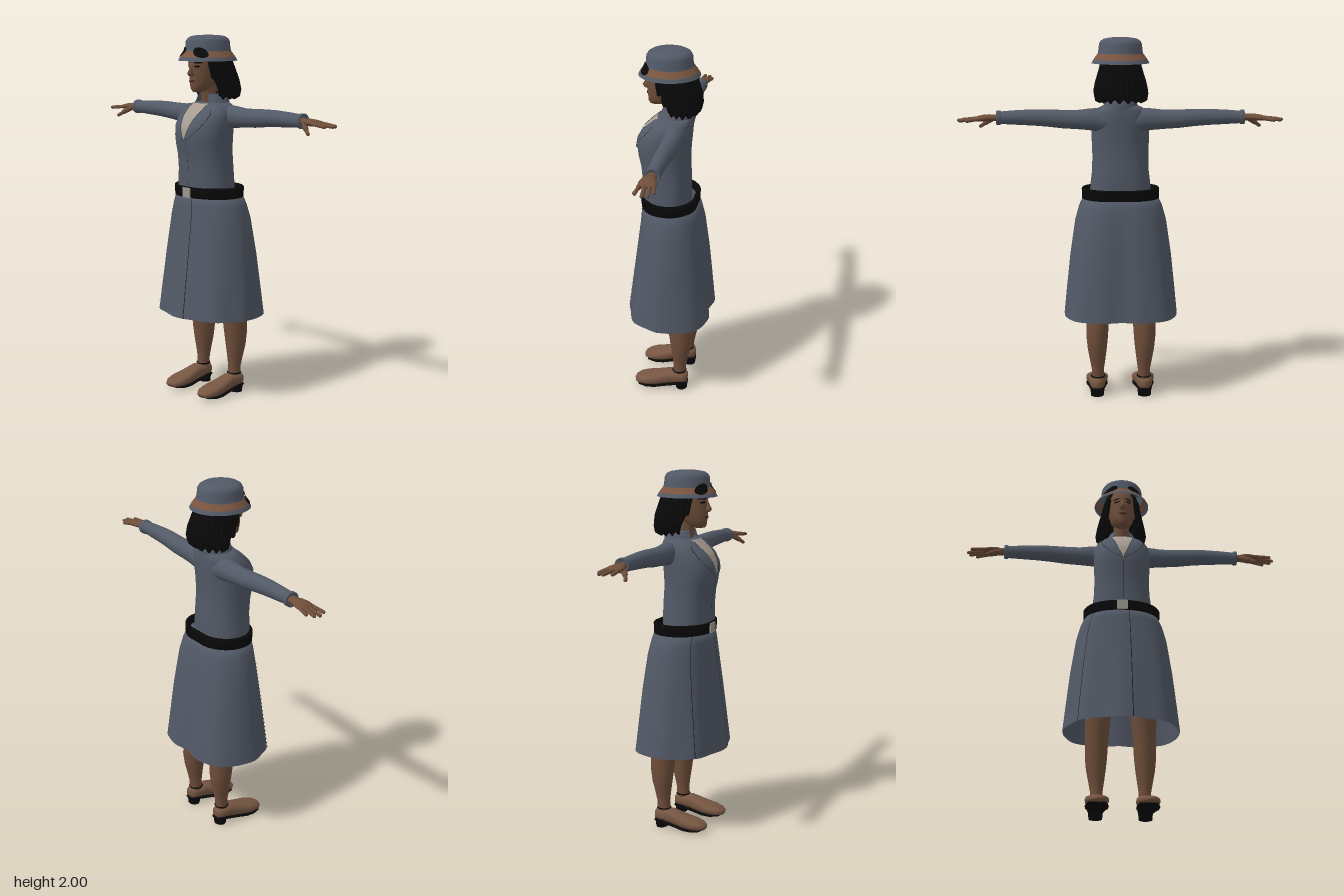
import * as THREE from 'three';

const mat = (name, color) => new THREE.MeshStandardMaterial({ name, color, side: THREE.DoubleSide });
const M = {
  cloth: mat('greyBlueCloth', 0x525966), shirt: mat('creamShirt', 0xa69c90), skin: mat('brownSkin', 0x6e4e3a),
  band: mat('hatBandBrown', 0x7a5540), shoe: mat('shoeLeather', 0x765642), black: mat('black', 0x090909),
  buckle: mat('buckleGrey', 0x9a968e), lip: mat('lipBrown', 0x4a2a22), seam: mat('darkSeam', 0x1d2027),
};
const TAU = Math.PI * 2;
const pw = (v, p) => Math.sign(v) * Math.pow(Math.abs(v), p);
const mix = THREE.MathUtils.lerp;

// Grid surface from f(u, v) -> [x, y, z]; wrap closes it in u
function surface(nu, nv, f, wrap = false) {
  const pos = [], idx = [], cols = wrap ? nu : nu + 1;
  for (let j = 0; j <= nv; j++) for (let i = 0; i < cols; i++) pos.push(...f(i / nu, j / nv));
  for (let j = 0; j < nv; j++) for (let i = 0; i < nu; i++) {
    const a = j * cols + i, b = j * cols + (i + 1) % cols, c = a + cols, d = b + cols;
    idx.push(a, c, b, b, c, d);
  }
  const g = new THREE.BufferGeometry();
  g.setAttribute('position', new THREE.Float32BufferAttribute(pos, 3));
  g.setIndex(idx);
  g.computeVertexNormals();
  return g;
}
const loft = (rows, point, n = 32) =>
  surface(n, rows.length - 1, (u, v) => point(rows[Math.round(v * (rows.length - 1))], u * TAU), true);

// Upright section: [y, halfWidth, zFront, zBack, centreX]
const pointY = ([y, rx, zf, zb, cx = 0], t, p = 1) =>
  [cx + rx * pw(Math.cos(t), p), y, (zf + zb) / 2 + (zf - zb) / 2 * pw(Math.sin(t), p)];
// Section along x: [x, centreY, centreZ, radiusY, radiusZ]
const pointX = ([x, cy, cz, ry, rz], t) => [x, cy + ry * Math.cos(t), cz - rz * Math.sin(t)];
// Section along z: [z, bottomY, topY, halfWidth]
const pointZ = ([z, y0, y1, rx], t) => [rx * pw(Math.cos(t), 0.8), (y0 + y1) / 2 - (y1 - y0) / 2 * pw(Math.sin(t), 0.8), z];

// Interpolated section at height y, and the front z of a lofted body there
function at(rows, y) {
  let i = 0;
  while (i < rows.length - 2 && rows[i + 1][0] < y) i++;
  const k = THREE.MathUtils.clamp((y - rows[i][0]) / (rows[i + 1][0] - rows[i][0]), 0, 1);
  return rows[i].map((a, n) => mix(a, rows[i + 1][n], k));
}
function frontZ(rows, x, y, p) {
  const [, rx, zf, zb] = at(rows, y);
  const c = Math.min(1, Math.pow(Math.abs(x) / rx, 1 / p));
  return (zf + zb) / 2 + (zf - zb) / 2 * Math.pow(Math.sqrt(1 - c * c), p);
}
// Thin piece lying on the front of a body, between two x edges
const overlay = (rows, p, y0, y1, xa, xb, lift, nu = 8, nv = 14) => surface(nu, nv, (u, v) => {
  const y = mix(y0, y1, v), x = mix(xa(y), xb(y), u);
  return [x, y, frontZ(rows, x, y, p) + lift];
});
// Oval piece lying on the front of a body
const oval = (rows, x0, y0, rx, ry, lift) => surface(16, 3, (u, v) => {
  const x = x0 + rx * v * Math.cos(u * TAU), y = y0 + ry * v * Math.sin(u * TAU);
  return [x, y, frontZ(rows, x, y, 1) + lift];
}, true);
const curve = pts => y => at(pts, y)[1];

const JACKET = [[1.13, .17, .155, -.105], [1.2, .166, .157, -.105], [1.27, .157, .158, -.105], [1.35, .155, .166, -.1],
  [1.41, .157, .18, -.1], [1.46, .159, .186, -.103], [1.51, .16, .178, -.108], [1.56, .158, .15, -.112],
  [1.6, .145, .108, -.112], [1.622, .12, .085, -.11], [1.636, .09, .07, -.105], [1.642, 0, 0, -.03]];
const HEAD = [[1.69, 0, .09, .07], [1.696, .02, .12, .04], [1.71, .04, .128, .01], [1.735, .056, .13, -.03], [1.77, .067, .133, -.08],
  [1.81, .074, .134, -.1], [1.85, .077, .132, -.1], [1.89, .077, .125, -.1], [1.94, .06, .09, -.07]];
const SKIRT = [[.46, .313, .24, -.24], [.6, .3, .223, -.228], [.8, .28, .198, -.21], [1, .252, .172, -.185],
  [1.08, .23, .164, -.168], [1.135, .205, .158, -.152], [1.14, 0, 0, 0]];

// Skirt gathers into soft folds towards the hem, with a dip at the back
function skirtPoint(row, t) {
  const k = THREE.MathUtils.clamp((1.13 - row[0]) / .67, 0, 1);
  const [x, y, z] = pointY(row, t, Math.sin(t) < 0 ? mix(.95, .74, k) : .95);
  const fold = 1 + .03 * k * Math.cos(t * 8) * (Math.sin(t) > 0 ? 1 : .4);
  const dip = z < 0 ? .03 * (.4 + .6 * k) * Math.exp(-((x / .07) ** 2)) : 0;
  return [x * mix(1, fold, .6), y, z * fold + (row[1] ? dip : 0)];
}

// Hat outline: [height, radius]
const HAT = [[1.862, .158], [1.882, .147], [1.914, .124], [1.93, .12], [1.965, .117], [1.982, .108], [1.993, .09], [1.999, .055], [2, 0]];
const hatLathe = pts => new THREE.LatheGeometry(pts.map(([y, r]) => new THREE.Vector2(r, y)), 40).scale(1, 1, 1.05).translate(0, 0, .014);

export function createModel() {
  const model = new THREE.Group();
  model.name = 'uniformedWoman';
  const add = (name, geo, m, parent = model) => {
    const mesh = new THREE.Mesh(geo, m);
    mesh.name = name;
    parent.add(mesh);
    return mesh;
  };
  // Rounded finger-like rod between two points
  const rod = (name, a, b, r, m, parent) => {
    const A = new THREE.Vector3(...a), B = new THREE.Vector3(...b), d = B.clone().sub(A);
    const mesh = add(name, new THREE.CapsuleGeometry(r, d.length(), 4, 10), m, parent);
    mesh.position.copy(A).add(B).multiplyScalar(.5);
    mesh.quaternion.setFromUnitVectors(new THREE.Vector3(0, 1, 0), d.normalize());
  };

  // Skirt, its seams and the belt
  add('skirt', loft(SKIRT, skirtPoint, 72), M.cloth);
  for (const [name, t0] of [['frontSeam', 1.42], ['sideSeam', Math.PI - .75]])
    add(name, surface(1, 16, (u, v) => {
      const [x, y, z] = skirtPoint(at(SKIRT, mix(.461, 1.12, v)), t0 + u * .015);
      return [x * 1.008, y, z * 1.012 + .001];
    }), M.seam);
  const beltRow = (y, d) => [y, .203 + d, .155 + d, -.147 - d];
  add('belt', loft([beltRow(1.12, -.01), beltRow(1.121, .01), beltRow(1.175, .012), beltRow(1.18, .008), beltRow(1.18, -.008),
    beltRow(1.14, -.012)], skirtPoint, 64), M.black);
  add('beltBuckle', new THREE.BoxGeometry(.06, .054, .009).translate(-.003, 1.149, .168), M.buckle);

  // Jacket body, shirt front, lapels and collar
  add('jacket', loft(JACKET, (r, t) => pointY(r, t, .85), 48), M.cloth);
  const inner = curve([[1.43, .001], [1.5, .03], [1.6, .06], [1.635, .06]]);
  const outer = curve([[1.43, .006], [1.46, .05], [1.5, .092], [1.55, .117], [1.58, .117], [1.625, .09]]);
  add('shirtFront', overlay(JACKET, .85, 1.43, 1.632, y => -inner(y), inner, .004, 12), M.shirt);
  for (const s of [1, -1]) {
    add('lapel', overlay(JACKET, .85, 1.43, 1.625, y => s * inner(y), y => s * outer(y), .008), M.cloth);
    add('lapelEdge', overlay(JACKET, .85, 1.43, 1.6, y => s * outer(y), y => s * (outer(y) + .003), .007, 1), M.seam);
    add('lapelInnerEdge', overlay(JACKET, .85, 1.43, 1.625, y => s * (inner(y) - .002), y => s * inner(y), .008, 1), M.seam);
  }
  add('frontClosure', overlay(JACKET, .85, 1.19, 1.43, () => .003, () => .005, .002, 1), M.seam);
  const collar = [[1.615, .1, .085, -.113], [1.65, .088, .068, -.114], [1.683, .07, .06, -.105], [1.684, .064, .052, -.098], [1.63, .064, .05, -.09]];
  add('collar', surface(36, 4, (u, v) => pointY(collar[Math.round(v * 4)], mix(.98, -Math.PI - .98, u))), M.cloth);

  // Neck, head and face
  add('neck', loft([[1.6, .048, .045, -.07], [1.68, .044, .052, -.06], [1.74, .045, .07, -.06]], pointY), M.skin);
  add('head', loft(HEAD, pointY, 36), M.skin);
  add('nose', loft([[1.778, .008, .135, .12], [1.784, .018, .152, .11], [1.797, .015, .161, .11], [1.815, .01, .15, .11],
    [1.845, .007, .137, .11]], pointY, 12), M.skin);
  add('mouth', oval(HEAD, 0, 1.753, .024, .008, .004), M.lip);
  for (const s of [1, -1]) {
    add('eye', oval(HEAD, s * .033, 1.833, .015, .005, .003), M.black);
    add('eyebrow', oval(HEAD, s * .035, 1.853, .021, .004, .003), M.black);
    add('ear', new THREE.SphereGeometry(.02, 12, 8).scale(.45, 1.3, .8).translate(s * .076, 1.81, .015), M.skin);
  }

  // Bobbed hair with fine strands, open at the face
  const hair = [[1.69, .06, 0, -.1], [1.662, .115, .015, -.135], [1.675, .14, .025, -.155], [1.71, .146, .035, -.163], [1.76, .137, .06, -.16],
    [1.81, .122, .085, -.146], [1.87, .106, .1, -.127], [1.92, .09, .1, -.11]];
  add('hair', surface(120, 7, (u, v) => {
    const t = mix(.96, -Math.PI - .96, u), [x, y, z] = pointY(hair[Math.round(v * 7)], t);
    const k = 1 + .022 * Math.sin(u * 140);
    return [x * k, y + (1 - v) * .012 * Math.sin(u * 75), z * k];
  }), M.black);
  for (const s of [1, -1]) {
    rod('hairLock', [s * .08, 1.87, .072], [s * .088, 1.775, .055], .011, M.black);
    rod('hairLock', [s * .088, 1.87, .045], [s * .105, 1.73, .02], .014, M.black);
  }

  // Hat: brim, band, crown and two dark patches at the front
  add('hatBrim', hatLathe(HAT.slice(0, 2)), M.cloth);
  add('hatBand', hatLathe(HAT.slice(1, 3)), M.band);
  add('hatCrown', hatLathe(HAT.slice(2)), M.cloth);
  for (const s of [1, -1])
    add('hatPatch', surface(20, 4, (u, v) => {
      const c = Math.cos(u * TAU), n = Math.sin(u * TAU);
      const a = s * (.56 + .33 * v * c), y = 1.908 + .026 * v * n - .01 * v * c;
      const r = at(HAT, y)[1] + .005;
      return [r * Math.sin(a), y, .014 + 1.05 * r * Math.cos(a)];
    }, true), M.black);

  // Arms, legs and shoes, built for the left and mirrored for the right
  for (const s of [1, -1]) {
    const side = new THREE.Group();
    side.name = s > 0 ? 'leftLimbs' : 'rightLimbs';
    side.scale.x = s;
    model.add(side);

    add('sleeve', loft([[.07, 1.55, -.04, .06, .06], [.13, 1.56, -.04, .063, .058], [.18, 1.561, -.04, .058, .053], [.24, 1.56, -.04, .052, .05],
      [.32, 1.563, -.04, .05, .049], [.4, 1.569, -.038, .047, .046], [.48, 1.572, -.036, .044, .043], [.58, 1.572, -.035, .039, .039],
      [.652, 1.571, -.035, .034, .036]], pointX), M.cloth, side);
    add('cuff', loft([[.65, 1.571, -.035, .034, .036], [.655, 1.571, -.035, .04, .041], [.674, 1.571, -.035, .04, .041],
      [.676, 1.571, -.035, .034, .035], [.66, 1.571, -.035, 0, 0]], pointX), M.cloth, side);
    add('hand', loft([[.655, 1.571, -.033, .021, .026], [.69, 1.57, -.031, .018, .027], [.715, 1.57, -.028, .019, .038], [.75, 1.568, -.029, .018, .047],
      [.778, 1.566, -.031, .014, .047], [.79, 1.565, -.031, .009, .043], [.793, 1.565, -.031, 0, 0]], pointX, 20), M.skin, side);
    const fingers = [[-.066, .832, -.076], [-.044, .87, -.056], [-.019, .88, -.028], [.005, .858, .012]];
    for (const [z, x, tip] of fingers) rod('finger', [.77, 1.566, z], [x, 1.557, tip], .0095, M.skin, side);
    rod('thumbBase', [.7, 1.562, -.01], [.74, 1.538, .018], .014, M.skin, side);
    rod('thumb', [.735, 1.54, .016], [.768, 1.518, .034], .01, M.skin, side);

    add('leg', loft([[.07, .034, -.03, -.105, .13], [.15, .034, -.035, -.108, .13], [.2, .042, -.03, -.118, .131], [.27, .053, -.02, -.135, .133],
      [.34, .06, -.01, -.144, .133], [.42, .063, 0, -.143, .131], [.5, .066, .012, -.135, .128], [.7, .08, .05, -.12, .12],
      [1, .1, .08, -.12, .105]], pointY, 28), M.skin, side);

    const foot = new THREE.Group();
    foot.name = 'shoe';
    foot.position.x = .133;
    side.add(foot);
    add('shoeUpper', loft([[-.118, .06, .08, 0], [-.114, .045, .1, .028], [-.09, .04, .108, .042], [-.05, .036, .108, .045], [-.02, .03, .112, .046],
      [.02, .022, .1, .051], [.07, .015, .084, .06], [.12, .013, .072, .063], [.16, .014, .06, .053], [.184, .018, .048, .032],
      [.192, .032, .034, 0]], pointZ, 28), M.shoe, foot);
    add('sole', loft([[-.118, .03, .05, 0], [-.115, .03, .05, .03], [-.05, .025, .044, .045], [.02, .014, .03, .051], [.07, .006, .022, .06],
      [.12, .006, .02, .062], [.165, .012, .022, .049], [.18, .018, .024, 0]], pointZ, 24), M.black, foot);
    add('heel', loft([[0, 0, -.08, -.08], [0, .036, -.05, -.114], [.05, .041, -.04, -.118]], pointY, 20), M.black, foot);
    add('ankleStrap', new THREE.TorusGeometry(.037, .004, 6, 28).rotateX(Math.PI / 2).translate(-.003, .112, -.069), M.black, foot);
  }
  return model;
}
